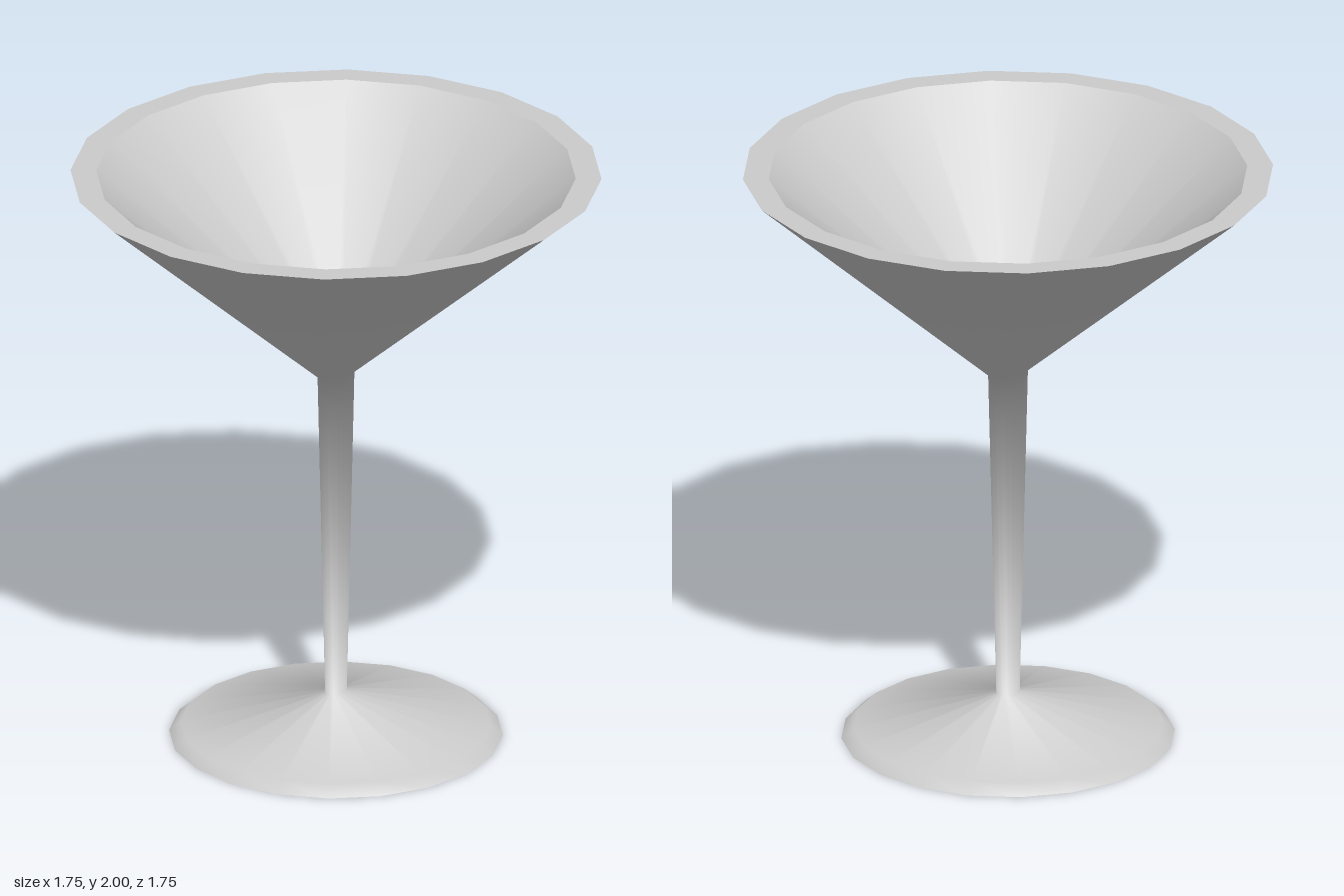
import * as THREE from 'three';
import { mergeVertices } from 'three/addons/utils/BufferGeometryUtils.js';

const SIDES = 20;
const material = new THREE.MeshStandardMaterial({ color: 0xcccccc });

// Turned surface with elliptical rings: each profile entry is [x radius, y, z radius].
function turned(name, profile) {
  const points = profile.map(([r, y]) => new THREE.Vector2(r, y));
  let geometry = new THREE.LatheGeometry(points, SIDES);
  const pos = geometry.attributes.position;
  for (let i = 0; i < pos.count; i++) {
    const [rx, , rz = rx] = profile[i % profile.length];
    if (rx > 0) pos.setZ(i, pos.getZ(i) * rz / rx);
  }
  // Weld the seam so the normals run smoothly all round
  geometry.deleteAttribute('uv');
  geometry.deleteAttribute('normal');
  geometry = mergeVertices(geometry, 1e-5);
  geometry.computeVertexNormals();
  const mesh = new THREE.Mesh(geometry, material);
  mesh.name = name;
  return mesh;
}

export function createModel() {
  const glass = new THREE.Group();
  glass.name = 'cocktailGlass';
  glass.add(
    // Flat underside of the foot
    turned('footUnderside', [[0, 0], [0.55, 0]]),
    // Foot, oval stem and outside of the bowl flow into one another
    turned('footStemAndBowl', [
      [0.55, 0],
      [0.51, 0.035],
      [0.03, 0.15, 0.044],
      [0.049, 1.29, 0.076],
      [0.875, 2],
    ]),
    // Flat rim
    turned('rim', [[0.875, 2], [0.79, 2]]),
    // Inside of the bowl and its small flat floor
    turned('bowlInside', [[0.79, 2], [0.082, 1.38]]),
    turned('bowlFloor', [[0.082, 1.38], [0, 1.38]]),
  );
  return glass;
}
